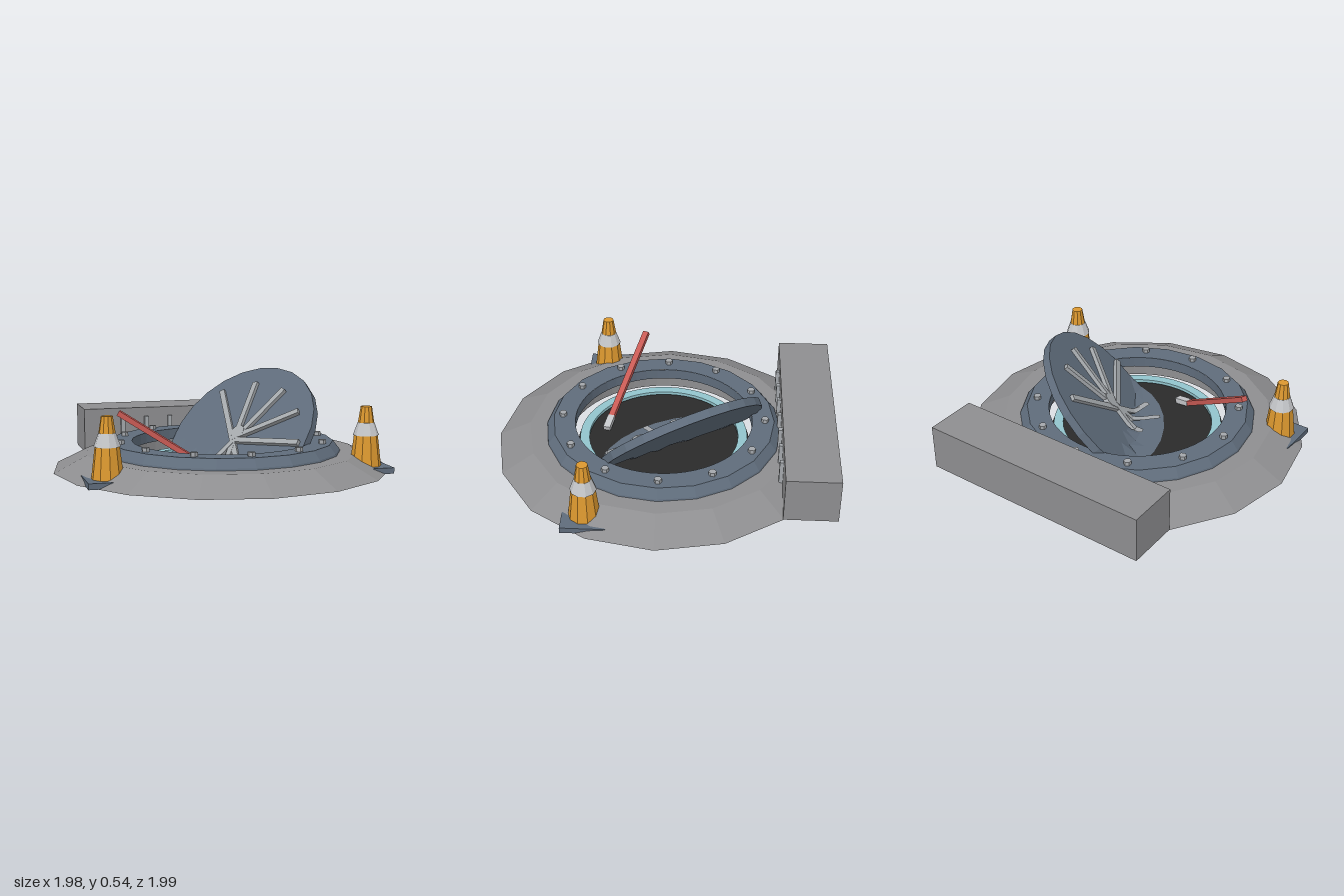
import * as THREE from 'three';

const mat = (name, color) => {
  const m = new THREE.MeshStandardMaterial({ color });
  m.name = name;
  return m;
};
const V = (x, y, z) => new THREE.Vector3(x, y, z);

// Faceted normals
function flat(geo) {
  const g = geo.index ? geo.toNonIndexed() : geo;
  g.computeVertexNormals();
  return g;
}

const lathe = (pts, seg) =>
  new THREE.LatheGeometry(pts.map(([r, y]) => new THREE.Vector2(r, y)), seg);

// Keep every vertex at or above a height, so sunken parts lie flat on the floor
function clampY(geo, min) {
  const p = geo.attributes.position;
  for (let i = 0; i < p.count; i++) p.setY(i, Math.max(p.getY(i), min));
  return geo;
}

// Flat ring: polygon outside, round hole inside, facing up or down
function ringPlate(outer, sides, inner, y, up) {
  const shape = new THREE.Shape();
  for (let i = 0; i < sides; i++) {
    const a = (i / sides) * Math.PI * 2;
    shape[i ? 'lineTo' : 'moveTo'](outer * Math.sin(a), outer * Math.cos(a));
  }
  shape.closePath();
  const hole = new THREE.Path();
  hole.absarc(0, 0, inner, 0, Math.PI * 2);
  shape.holes.push(hole);
  return new THREE.ShapeGeometry(shape, 32)
    .rotateX(up ? -Math.PI / 2 : Math.PI / 2).translate(0, y, 0);
}

// Straight bar between two points, with its thickness along "up"
function beam(a, b, width, height, up) {
  const dir = b.clone().sub(a);
  const geo = new THREE.BoxGeometry(dir.length(), height, width, 10, 1, 1);
  const x = dir.normalize();
  const z = x.clone().cross(up).normalize();
  const m = new THREE.Matrix4().makeBasis(x, z.clone().cross(x), z);
  m.setPosition(a.clone().add(b).multiplyScalar(0.5));
  return geo.applyMatrix4(m);
}

export function createModel() {
  const root = new THREE.Group();
  root.name = 'openHatch';
  const concrete = mat('concrete', 0x8e8e90);
  const slate = mat('slate steel', 0x5f6c7b);
  const metal = mat('light metal', 0xa4a8ac);
  const black = mat('shaft black', 0x2a2a2a);
  const cyan = mat('glow cyan', 0x92c4cd);
  const red = mat('red paint', 0xc75a54);
  const orange = mat('cone orange', 0xdc982f);
  const white = mat('reflective band', 0xc4c6c9);

  const add = (name, geo, material, parent = root) => {
    const m = new THREE.Mesh(flat(geo), material);
    m.name = name;
    parent.add(m);
    return m;
  };

  // Concrete apron with a round hole
  add('apronSlope', lathe([[0.99, 0], [0.8, 0.095], [0.62, 0.095]], 16), concrete);
  add('apronUnderside', ringPlate(0.99, 16, 0.575, 0, false), concrete);
  add('apronHoleWall', lathe([[0.575, 0.1], [0.575, 0]], 48), concrete);

  // Low wall at the back, with a row of studs
  add('backWall', new THREE.BoxGeometry(1.4, 0.27, 0.305).translate(0, 0.135, -0.8475), concrete);
  for (let i = -3; i <= 3; i++) {
    add('wallStud', new THREE.BoxGeometry(0.026, 0.145, 0.025)
      .translate(i * 0.152, 0.1425, -0.685), metal);
  }

  // Bolted steel frame
  add('frameRim', lathe([[0.7, 0.09], [0.695, 0.105], [0.655, 0.155]], 20), slate);
  add('frameTop', ringPlate(0.655, 20, 0.525, 0.155, true), slate);
  add('frameUnderside', ringPlate(0.7, 20, 0.525, 0.09, false), slate);
  add('frameInnerWall', lathe([[0.525, 0.155], [0.525, 0.09]], 48), slate);
  for (let i = 0; i < 12; i++) {
    const a = (i / 12) * Math.PI * 2;
    add('frameBolt', new THREE.CylinderGeometry(0.022, 0.022, 0.03, 6)
      .translate(0.6 * Math.sin(a), 0.163, 0.6 * Math.cos(a)), metal);
  }

  // Shaft floor and glowing ring
  add('shaftFloor', new THREE.CylinderGeometry(0.512, 0.512, 0.003, 48)
    .translate(0, 0.0015, 0), black);
  add('glowRing', lathe([[0.445, 0.02], [0.5, 0.02], [0.5, 0.04], [0.445, 0.04], [0.445, 0.02]], 48), cyan);

  // Tilted lid, its lower edge resting on the floor
  const normal = V(-0.63, 0.667, 0.4).normalize();
  const centre = V(0.14, 0.17, -0.1);
  const place = new THREE.Matrix4().makeRotationFromQuaternion(
    new THREE.Quaternion().setFromUnitVectors(V(0, 1, 0), normal)).setPosition(centre);
  const radii = [0, 0.1, 0.2, 0.3, 0.4, 0.5];
  const profile = [...radii.map(r => [r, -0.05]), ...radii.slice().reverse().map(r => [r, 0])];
  add('lid', clampY(lathe(profile, 24).applyMatrix4(place), 0.006), slate);
  add('lidHub', new THREE.CylinderGeometry(0.045, 0.055, 0.025, 12)
    .translate(0, 0.012, 0).applyMatrix4(place), metal);

  // Crossed bars on the lid, given as x, z ends on its plane
  const onLid = (x, z) => V(x,
    centre.y - (normal.x * (x - centre.x) + normal.z * (z - centre.z)) / normal.y, z)
    .addScaledVector(normal, 0.01);
  [
    [0.14, -0.45, 0.07, 0.19],
    [0.31, -0.29, -0.07, 0.11],
    [-0.07, -0.075, 0.42, -0.08],
    [0.1, -0.1, 0.44, 0.13],
    [0.12, -0.06, 0.38, 0.3],
  ].forEach(([x0, z0, x1, z1], i) => {
    const geo = beam(onLid(x0, z0), onLid(x1, z1), 0.034, 0.022 + i * 0.002, normal);
    add('lidBar', clampY(geo, 0.028 + i * 0.001), metal);
  });

  // Pry bar leaning on the frame
  add('pryBar', beam(V(-0.64, 0.355, 0.145), V(-0.15, 0.04, 0.33), 0.036, 0.03, V(0, 1, 0)), red);
  add('pryBarTip', clampY(beam(V(-0.155, 0.043, 0.328), V(-0.06, 0.02, 0.35), 0.042, 0.034, V(0, 1, 0)), 0.008), white);

  // Traffic cones
  for (const side of [-1, 1]) {
    const cone = new THREE.Group();
    cone.name = side > 0 ? 'leftCone' : 'rightCone';
    cone.position.set(side * 0.75, 0, 0.395);
    root.add(cone);
    add('coneFoot', new THREE.BoxGeometry(0.25, 0.034, 0.25).translate(0, 0.017, 0), slate, cone);
    add('coneBody', lathe([[0.09, 0.03], [0.068, 0.212]], 10), orange, cone);
    add('coneBand', lathe([[0.066, 0.21], [0.074, 0.21], [0.048, 0.283], [0.04, 0.283]], 10), white, cone);
    add('coneTip', lathe([[0.047, 0.28], [0.032, 0.375], [0, 0.375]], 10), orange, cone);
  }
  return root;
}
